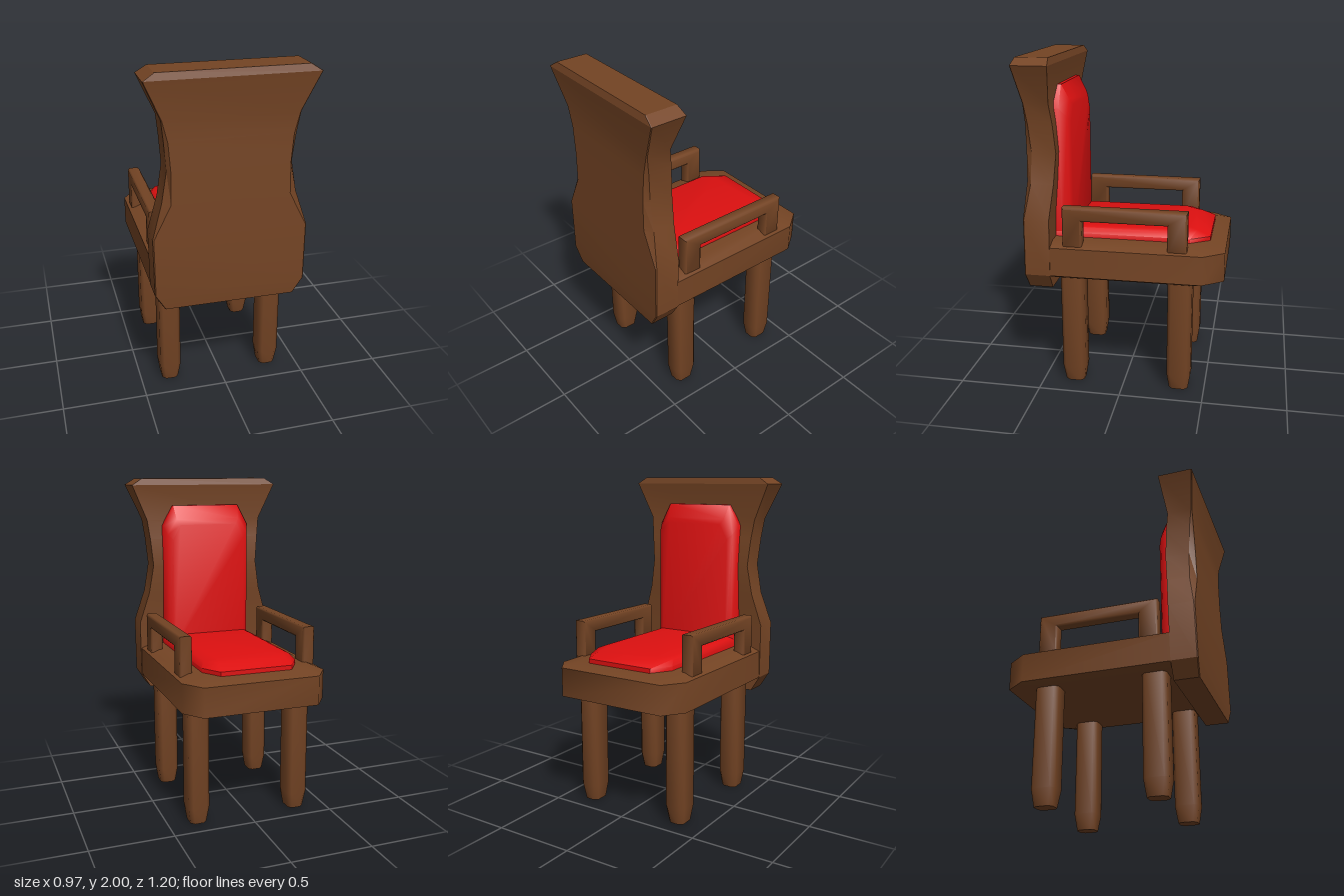
import * as THREE from 'three';
import { toCreasedNormals } from 'three/addons/utils/BufferGeometryUtils.js';

const wood = new THREE.MeshStandardMaterial({ color: 0x744424 });
wood.name = 'brown wood';
const fabric = new THREE.MeshStandardMaterial({ color: 0xdd1010 });
fabric.name = 'red fabric';

// Skin a stack of convex rings (arrays of Vector3, equal length) and cap both ends
function loft(rings, crease) {
  const tris = [];
  const n = rings[0].length;
  for (let r = 0; r < rings.length - 1; r++) {
    for (let i = 0; i < n; i++) {
      const j = (i + 1) % n;
      const [a, b, c, d] = [rings[r][i], rings[r][j], rings[r + 1][j], rings[r + 1][i]];
      tris.push([a, b, c], [a, c, d]);
    }
  }
  const first = rings[0], last = rings[rings.length - 1];
  for (let i = 1; i < n - 1; i++) {
    tris.push([first[0], first[i + 1], first[i]], [last[0], last[i], last[i + 1]]);
  }
  // Turn the faces outward whichever way the rings run
  let volume = 0;
  for (const [a, b, c] of tris) volume += a.dot(b.clone().cross(c));
  const points = tris.flatMap(([a, b, c]) => (volume < 0 ? [a, c, b] : [a, b, c]));
  return toCreasedNormals(new THREE.BufferGeometry().setFromPoints(points), crease);
}

// Mirror a half outline [x, v] across x = 0 and place it in space
function ring(half, place) {
  const mirrored = half.map(([x, v]) => [-x, v]).reverse();
  return [...half, ...mirrored].map(([x, v]) => place(x, v));
}
const atHeight = (y) => (x, z) => new THREE.Vector3(x, y, z);
const atDepth = (z) => (x, y) => new THREE.Vector3(x, y, z);

function addMesh(parent, name, geometry, material) {
  const mesh = new THREE.Mesh(geometry, material);
  mesh.name = name;
  parent.add(mesh);
  return mesh;
}

// Seat slab with cut front corners: [y, half width, front z, front half width, corner z]
function seatGeometry() {
  const rows = [
    [0.70, 0.39, -0.48, 0.30, -0.40],
    [0.725, 0.44, -0.6, 0.35, -0.475],
    [0.90, 0.44, -0.6, 0.35, -0.475],
    [0.928, 0.37, -0.5, 0.29, -0.40],
  ];
  return loft(rows.map(([y, w, front, fw, corner]) =>
    ring([[w, 0.45], [w, corner], [fw, front]], atHeight(y))), 1.0);
}

// Backrest: [y, half width, front z, back z, rear bevel width, rear bevel depth]
function backrestGeometry() {
  const rows = [
    [0.63, 0.385, 0.425, 0.572, 0.005, 0.005],
    [0.725, 0.443, 0.425, 0.58, 0.005, 0.005],
    [1.07, 0.447, 0.42, 0.576, 0.006, 0.006],
    [1.27, 0.385, 0.402, 0.573, 0.045, 0.035],
    [1.45, 0.355, 0.39, 0.57, 0.018, 0.035],
    [1.62, 0.37, 0.402, 0.568, 0.02, 0.02],
    [1.74, 0.385, 0.418, 0.57, 0.005, 0.005],
    [1.96, 0.483, 0.39, 0.603, 0.004, 0.004],
    [2.0, 0.42, 0.40, 0.592, 0.004, 0.004],
  ];
  return loft(rows.map(([y, w, front, back, bw, bd]) =>
    ring([[w, front], [w, back - bd], [w - bw, back]], atHeight(y))), 0.35);
}

// Padded cushions: wide outline at the base, bevelled toward the face
function seatCushionGeometry() {
  const rows = [
    [0.90, 0.293, -0.505, 0.22, -0.39, 0.42],
    [0.953, 0.293, -0.505, 0.22, -0.39, 0.42],
    [0.985, 0.272, -0.425, 0.205, -0.345, 0.40],
    [0.996, 0.245, -0.38, 0.19, -0.31, 0.35],
  ];
  return loft(rows.map(([y, w, front, fw, corner, back]) =>
    ring([[w, back], [w, corner], [fw, front]], atHeight(y))), 1.0);
}

function backCushionGeometry() {
  const rows = [
    [0.44, 0.29, 1.83, 0.22, 1.70],
    [0.385, 0.29, 1.83, 0.22, 1.70],
    [0.34, 0.272, 1.745, 0.21, 1.65],
    [0.323, 0.24, 1.71, 0.19, 1.62],
  ];
  return loft(rows.map(([z, w, top, tw, corner]) =>
    ring([[w, 0.92], [w, corner], [tw, top]], atDepth(z))), 1.0);
}

// Leg: chamfered post that tapers at the foot
function legGeometry() {
  const rows = [[0, 0.05, 0.058], [0.1, 0.064, 0.073], [0.72, 0.064, 0.073]];
  const c = 0.022;
  return loft(rows.map(([y, w, d]) =>
    ring([[w - c, -d], [w, c - d], [w, d - c], [w - c, d]], atHeight(y))), 0.9);
}

// Armrest: two posts and a rail cut from one bevelled profile (z, y)
function armGeometry() {
  const b = 0.01;
  const outline = [
    [-0.385, 0.9], [-0.385, 1.145], [0.35, 1.145], [0.35, 0.9],
    [0.235, 0.9], [0.235, 1.065], [-0.27, 1.065], [-0.27, 0.9],
  ].map(([z, y]) => new THREE.Vector2(z, y));
  const geometry = new THREE.ExtrudeGeometry(new THREE.Shape(outline), {
    depth: 0.075 - 2 * b, bevelThickness: b, bevelSize: b, bevelOffset: -b, bevelSegments: 1,
  });
  geometry.translate(0, 0, -0.0375 + b).rotateY(-Math.PI / 2);
  return toCreasedNormals(geometry, 0.9);
}

export function createModel() {
  const chair = new THREE.Group();
  chair.name = 'armchair';
  addMesh(chair, 'seat', seatGeometry(), wood);
  addMesh(chair, 'backrest', backrestGeometry(), wood);
  addMesh(chair, 'seatCushion', seatCushionGeometry(), fabric);
  addMesh(chair, 'backCushion', backCushionGeometry(), fabric);

  // Paired legs and armrests
  const leg = legGeometry();
  const arm = armGeometry();
  for (const [side, s] of [['left', 1], ['right', -1]]) {
    addMesh(chair, `${side}SeatFrontLeg`, leg, wood).position.set(s * 0.318, 0, -0.343);
    addMesh(chair, `${side}SeatBackLeg`, leg, wood).position.set(s * 0.318, 0, 0.308);
    addMesh(chair, `${side}Armrest`, arm, wood).position.x = s * 0.385;
  }
  return chair;
}
